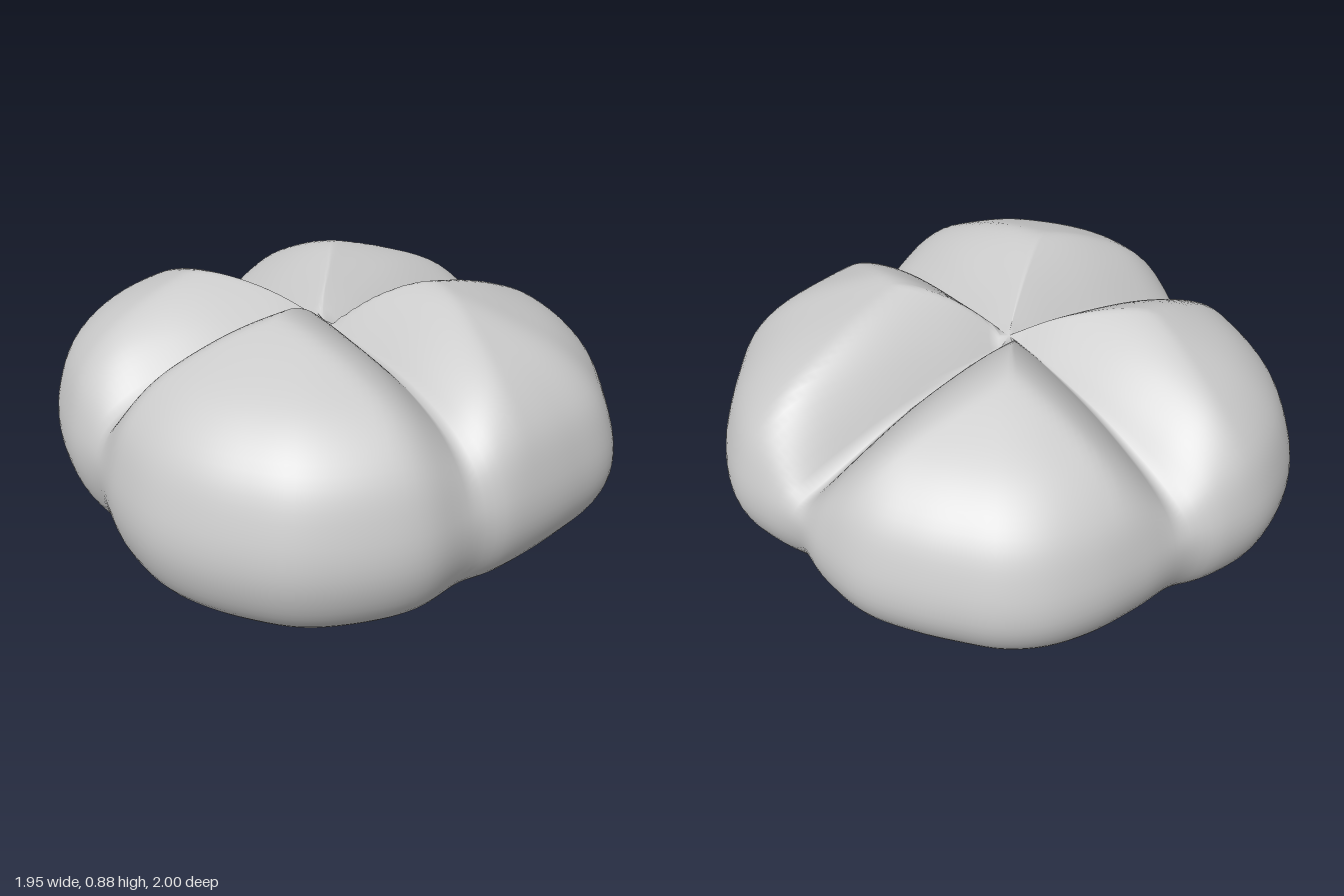
import * as THREE from 'three';
import { mergeVertices } from 'three/addons/utils/BufferGeometryUtils.js';

const AROUND = 180, UP = 72;
const CX = -0.05, CZ = -0.03; // where the two cuts cross
const { smoothstep, lerp } = THREE.MathUtils;

// Plan outline (x, z), going from the left side round by the front
const outline = [
  [0.97, 0.1], [0.93, 0.31], [0.8, 0.57], [0.67, 0.75], [0.45, 0.85], [0.15, 0.93], [0.01, 0.935],
  [-0.2, 0.995], [-0.38, 0.98], [-0.6, 0.9], [-0.75, 0.77], [-0.86, 0.63], [-0.93, 0.48],
  [-0.96, 0.27], [-0.945, 0.03], [-0.975, -0.2], [-0.93, -0.5], [-0.83, -0.7], [-0.71, -0.83],
  [-0.52, -0.94], [-0.33, -0.965], [-0.19, -0.945], [0, -0.98], [0.2, -1], [0.37, -0.98],
  [0.5, -0.92], [0.61, -0.82], [0.72, -0.7], [0.82, -0.55], [0.865, -0.35], [0.87, -0.18], [0.93, -0.05],
];

// Cross-section (share of the radius, height), from under the middle to the top
const section = [
  [0, 0.01], [0.4, 0.005], [0.7, 0.005], [0.83, 0.02], [0.91, 0.07], [0.97, 0.16], [1, 0.28],
  [0.985, 0.41], [0.925, 0.56], [0.8, 0.685], [0.62, 0.78], [0.42, 0.855], [0.2, 0.905], [0, 0.92],
];

// Each half of a cut: depth and width at the crossing and at the rim,
// and how much wider it is on its negative and positive sides
const cuts = {
  left: { depth: [0.28, 0.25], width: [0.35, 0.26], sides: [1.1, 0.85] },
  right: { depth: [0.24, 0.17], width: [0.35, 0.24], sides: [1.1, 0.85] },
  front: { depth: [0.24, 0.13], width: [0.36, 0.24], sides: [1, 0.88] },
  back: { depth: [0.24, 0.18], width: [0.36, 0.26], sides: [1, 0.9] },
};

// Depth of a cut at a distance off its line, rounding off towards the crest
function groove({ depth, width, sides }, offset, outward) {
  const k = smoothstep(outward, 0.15, 0.9);
  const reach = lerp(width[0], width[1], k) * sides[offset < 0 ? 0 : 1];
  return lerp(depth[0], depth[1], k) * Math.pow(1 - Math.min(1, Math.abs(offset) / reach), 1.45);
}

// Height of the domed surface after the cross-shaped cut, a slight lean and an uneven base
function shapedHeight(x, y, z) {
  const lineZ = CZ - (x > 0 ? 0.17 : 0.07) * x;
  const lineX = CX + (z > 0 ? 0.07 : 0.14) * z;
  const across = groove(x > CX ? cuts.left : cuts.right, z - lineZ, Math.abs(x - CX));
  const along = groove(z > CZ ? cuts.front : cuts.back, x - lineX, Math.abs(z - CZ));
  const cut = Math.max(across, along) * smoothstep(y, 0.28, 0.75);
  const lean = 1 - 0.045 * x + (z > 0 ? 0.045 : 0.065) * z;
  const base = 0.026 * Math.max(0, x + 0.5) * (1 - smoothstep(y, 0, 0.3));
  return y * lean - cut + base;
}

function bunGeometry() {
  const rim = new THREE.CatmullRomCurve3(
    outline.map(([x, z]) => new THREE.Vector3(x, 0, z)), true).getSpacedPoints(AROUND);
  const profile = new THREE.SplineCurve(
    section.map(([s, y]) => new THREE.Vector2(s, y))).getSpacedPoints(UP);

  const positions = [], index = [];
  profile.forEach((p, i) => {
    const s = i === 0 || i === UP ? 0 : Math.max(0, p.x);
    for (let j = 0; j < AROUND; j++) {
      const x = CX + (rim[j].x - CX) * s, z = CZ + (rim[j].z - CZ) * s;
      positions.push(x, Math.max(0, shapedHeight(x, p.y, z)), z);
      if (i === UP) continue;
      const a = i * AROUND + j, b = i * AROUND + (j + 1) % AROUND;
      const c = a + AROUND, d = b + AROUND;
      if (i > 0) index.push(a, c, b);
      if (i < UP - 1) index.push(b, c, d);
    }
  });

  const geometry = new THREE.BufferGeometry();
  geometry.setAttribute('position', new THREE.Float32BufferAttribute(positions, 3));
  geometry.setIndex(index);
  const merged = mergeVertices(geometry, 1e-5);
  merged.computeVertexNormals();
  return merged;
}

export function createModel() {
  const model = new THREE.Group();
  model.name = 'crossCutBun';
  const bun = new THREE.Mesh(bunGeometry(), new THREE.MeshStandardMaterial({ color: 0xcccccc }));
  bun.name = 'bun';
  model.add(bun);
  return model;
}
